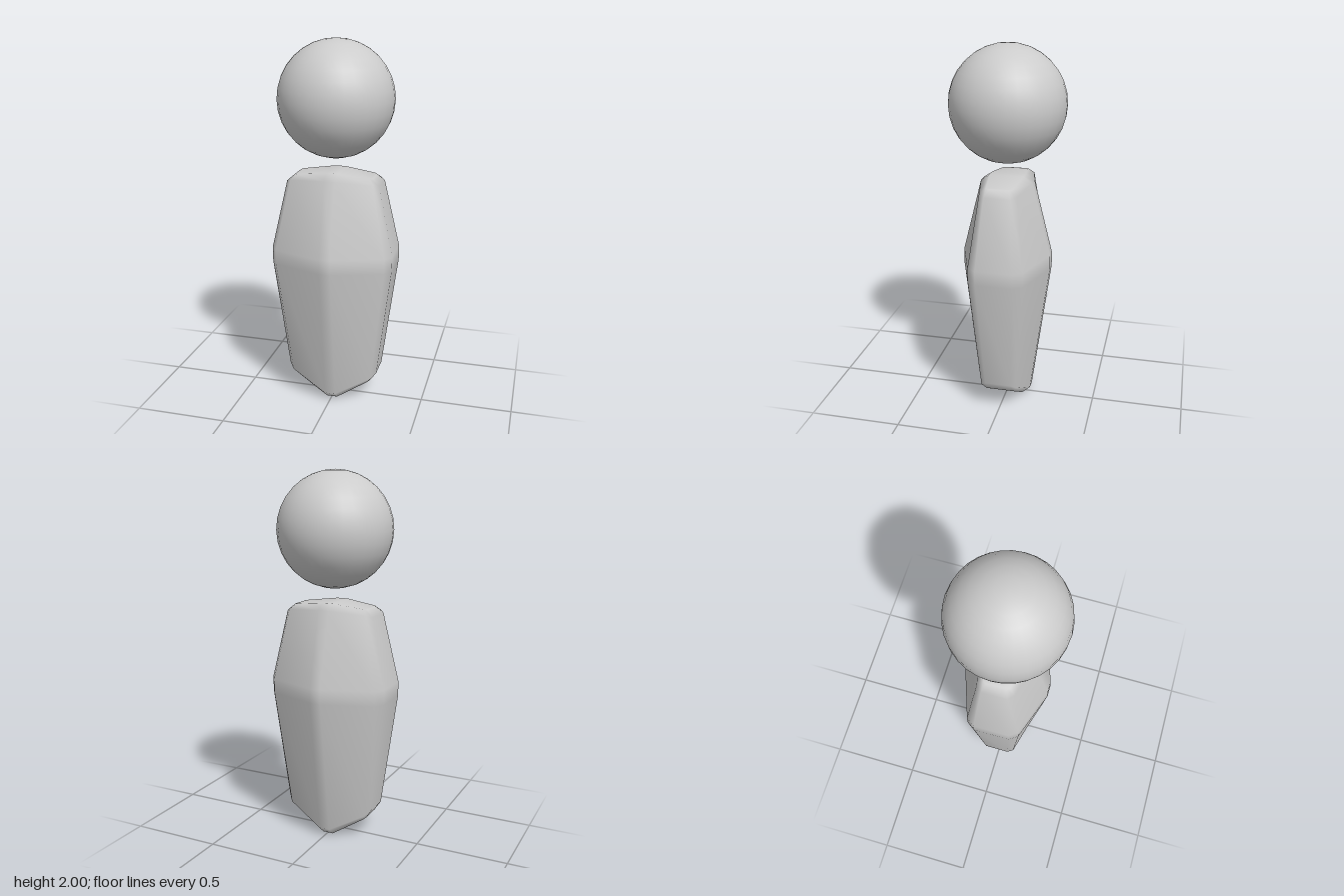
import * as THREE from 'three';

const material = new THREE.MeshStandardMaterial({ color: 0xcccccc });

// Each ring lists one quarter of the section as [x, y, z]: side, corner, centre ridge.
const rings = [
  [[0.22, 0.125, 0.055], [0.205, 0.115, 0.075], [0.03, 0.003, 0.092]],
  [[0.252, 0.175, 0.07], [0.225, 0.15, 0.1], [0.03, 0.045, 0.138]],
  [[0.332, 0.8, 0.1], [0.3, 0.8, 0.147], [0.03, 0.8, 0.241]],
  [[0.333, 0.88, 0.1], [0.3, 0.88, 0.147], [0.03, 0.88, 0.24]],
  [[0.252, 1.255, 0.07], [0.225, 1.265, 0.1], [0.03, 1.28, 0.14]],
  [[0.212, 1.29, 0.055], [0.2, 1.292, 0.07], [0.03, 1.313, 0.092]],
];

// Mirror a quarter section into a full loop of 12 points
function fullLoop([side, corner, ridge]) {
  const right = [side, corner, ridge];
  const left = [ridge, corner, side].map(([x, y, z]) => [-x, y, z]);
  const front = [...right, ...left];
  const back = [...front].reverse().map(([x, y, z]) => [x, y, -z]);
  return [...front, ...back];
}

function createBodyGeometry() {
  const n = 12;
  const positions = rings.flatMap((r) => fullLoop(r).flat());
  const index = [];
  const quad = (a, b, c, d) => index.push(a, b, c, a, c, d);

  // Walls between neighbouring rings
  for (let r = 0; r < rings.length - 1; r++) {
    for (let i = 0; i < n; i++) {
      const j = (i + 1) % n;
      const low = r * n;
      const high = low + n;
      quad(low + i, high + i, high + j, low + j);
    }
  }
  // Ridged caps, as strips running from front to back
  const top = (rings.length - 1) * n;
  for (let i = 0; i < n / 2 - 1; i++) {
    quad(top + i, top + 11 - i, top + 10 - i, top + i + 1);
    quad(i, i + 1, 10 - i, 11 - i);
  }

  const geometry = new THREE.BufferGeometry();
  geometry.setAttribute('position', new THREE.Float32BufferAttribute(positions, 3));
  geometry.setIndex(index);
  geometry.computeVertexNormals();
  return geometry;
}

export function createModel() {
  const model = new THREE.Group();
  model.name = 'figure';

  // Faceted body with softened edges
  const body = new THREE.Mesh(createBodyGeometry(), material);
  body.name = 'body';

  // Head floating above the body
  const head = new THREE.Mesh(new THREE.SphereGeometry(0.309, 32, 16), material);
  head.name = 'head';
  head.position.y = 1.691;

  model.add(body, head);
  return model;
}
